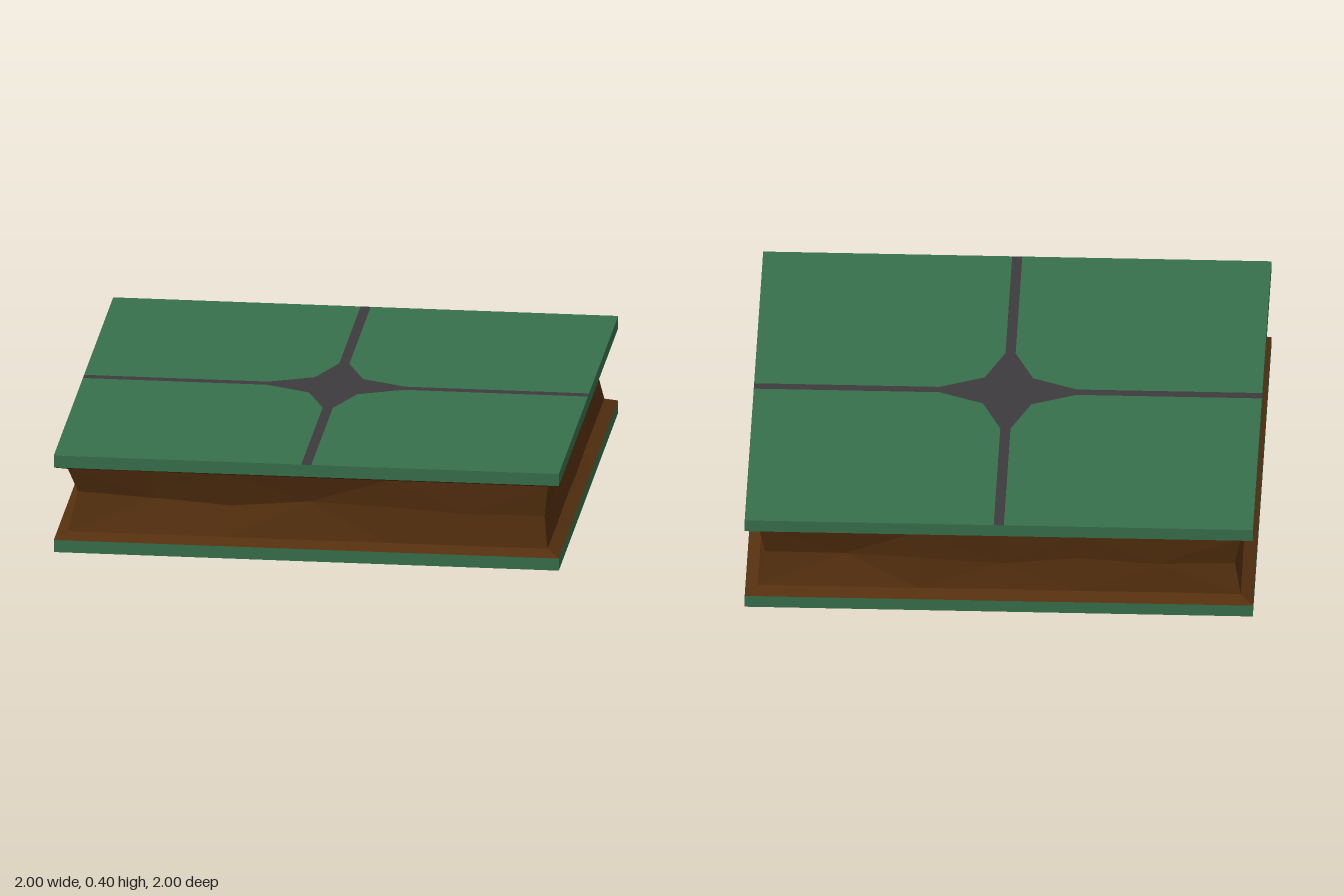
import * as THREE from 'three';

const green = new THREE.MeshStandardMaterial({ color: 0x38704c, flatShading: true });
const grey = new THREE.MeshStandardMaterial({ color: 0x3d3b3d, flatShading: true });
const brown = new THREE.MeshStandardMaterial({ color: 0x55300f, flatShading: true });

// Small seeded generator, returns -1..1
function seeded(seed) {
  let s = seed;
  return () => {
    s = (s * 16807) % 2147483647;
    return (s / 2147483647) * 2 - 1;
  };
}

// Outline of one quarter of the inlay, from the +x arm round to the +y arm
const quarter = [[1, 0.02], [0.27, 0.02], [0.095, 0.097], [0.02, 0.28], [0.02, 1]];

function polygon(points) {
  return new THREE.ShapeGeometry(new THREE.Shape(points.map(([x, y]) => new THREE.Vector2(x, y))));
}

// Plate: square rim, four coloured quadrants and a flush star-shaped inlay, facing up
function plate(name) {
  const group = new THREE.Group();
  group.name = name;
  const add = (geometry, material, label) => {
    const mesh = new THREE.Mesh(geometry, material);
    mesh.name = label;
    group.add(mesh);
  };
  const rim = new THREE.CylinderGeometry(Math.SQRT2, Math.SQRT2, 0.05, 4, 1, true);
  add(rim.rotateY(Math.PI / 4).translate(0, -0.025, 0), green, 'plateRim');

  const star = [];
  for (const [sx, sy] of [[1, 1], [-1, 1], [-1, -1], [1, -1]]) {
    const points = quarter.map(([x, y]) => [x * sx, y * sy]);
    star.push(...(sx * sy > 0 ? points : points.slice().reverse()));
    add(polygon([...points, [sx, sy]]).rotateX(-Math.PI / 2), green, 'plateQuadrant');
  }
  add(polygon(star).rotateX(-Math.PI / 2), grey, 'starInlay');
  return group;
}

// Core: square rings stacked from flared lip to rough waist to flared lip
function coreGeometry() {
  const rand = seeded(71);
  const perSide = 6;
  const count = perSide * 4;
  // height, half width, roughness in depth, roughness in height
  const rings = [
    [0.05, 1, 0, 0], [0.072, 0.95, 0.002, 0], [0.21, 0.922, 0.016, 0.035],
    [0.33, 0.948, 0.003, 0], [0.35, 1, 0, 0],
  ];
  const positions = [];
  for (const [y, half, rough, lift] of rings) {
    for (let i = 0; i < count; i++) {
      const side = Math.floor(i / perSide);
      const along = ((i % perSide) / perSide) * 2 - 1;
      const h = half + rand() * rough;
      const p = new THREE.Vector3(along * h, y + rand() * lift, h);
      p.applyAxisAngle(new THREE.Vector3(0, 1, 0), (side * Math.PI) / 2);
      positions.push(p.x, p.y, p.z);
    }
  }
  const index = [];
  for (let r = 0; r < rings.length - 1; r++) {
    for (let i = 0; i < count; i++) {
      const a = r * count + i;
      const b = r * count + ((i + 1) % count);
      const c = b + count;
      const d = a + count;
      // Alternate the diagonal for an irregular chipped look
      if ((i + r) % 2) index.push(a, b, c, a, c, d);
      else index.push(a, b, d, b, c, d);
    }
  }
  const geometry = new THREE.BufferGeometry();
  geometry.setAttribute('position', new THREE.Float32BufferAttribute(positions, 3));
  geometry.setIndex(index);
  geometry.computeVertexNormals();
  return geometry;
}

export function createModel() {
  const model = new THREE.Group();
  model.name = 'slab';

  const top = plate('topPlate');
  top.position.y = 0.4;
  const bottom = plate('bottomPlate');
  bottom.rotation.x = Math.PI;
  const core = new THREE.Mesh(coreGeometry(), brown);
  core.name = 'roughCore';

  model.add(top, bottom, core);
  return model;
}
